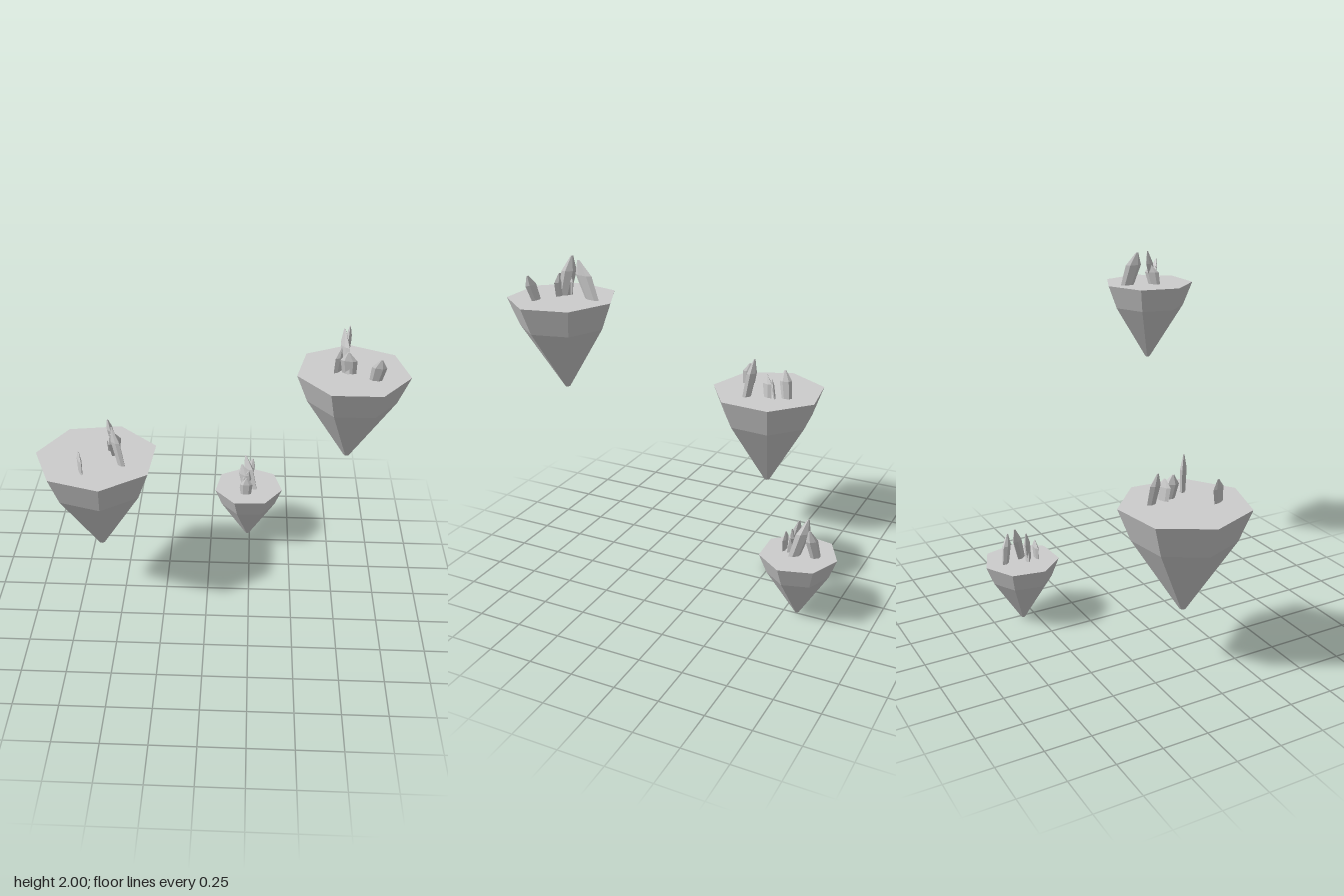
import * as THREE from 'three';

const stone = new THREE.MeshStandardMaterial({ color: 0xcccccc, flatShading: true });
stone.name = 'pale grey stone';

// Seven-sided floating rock: flat top, bulging shoulder, narrow foot
function makeRock(r, bottom, top, angle) {
  const shoulder = top - (top - bottom) * 0.3;
  const profile = [[0, bottom], [r * 0.05, bottom], [r * 0.8, shoulder], [r, top], [0, top]]
    .map(([x, y]) => new THREE.Vector2(x, y));
  const geo = new THREE.LatheGeometry(profile, 7, Math.PI / 2 - THREE.MathUtils.degToRad(angle));
  const mesh = new THREE.Mesh(geo, stone);
  mesh.name = 'rock';
  return mesh;
}

// Flat leaning blade: base centre (x, z), tip (tx, tz), height, width, thickness, heading in degrees
function makeCrystal([x, z, tx, tz, h, width, thick, heading], top) {
  const profile = [[0, 0], [0.42, 0], [0.5, h * 0.62], [0.08, h], [0, h]]
    .map(([a, b]) => new THREE.Vector2(a, b));
  const geo = new THREE.LatheGeometry(profile, 6, Math.PI / 2);
  geo.scale(width, 1, thick);
  geo.rotateY(-THREE.MathUtils.degToRad(heading));
  const lean = new THREE.Matrix4().set(
    1, (tx - x) / h, 0, x,
    0, 1, 0, top,
    0, (tz - z) / h, 1, z,
    0, 0, 0, 1);
  geo.applyMatrix4(lean);
  const mesh = new THREE.Mesh(geo, stone);
  mesh.name = 'crystal';
  return mesh;
}

const islands = [
  {
    name: 'largeIsland', x: -0.632, z: -0.018, r: 0.353, bottom: 0.323, top: 0.925, angle: 29.8,
    crystals: [
      [-0.70, 0.145, -0.705, 0.135, 0.13, 0.09, 0.02, 68],
      [-0.555, -0.17, -0.578, -0.147, 0.17, 0.075, 0.04, 75],
      [-0.54, -0.095, -0.535, -0.08, 0.115, 0.085, 0.02, -25],
      [-0.53, -0.055, -0.55, -0.04, 0.135, 0.08, 0.04, 115],
      [-0.482, 0.062, -0.532, 0.034, 0.228, 0.07, 0.035, 40],
    ],
  },
  {
    name: 'smallIsland', x: 0.236, z: -0.573, r: 0.217, bottom: 0, top: 0.37, angle: 10.2,
    crystals: [
      [0.235, -0.67, 0.262, -0.64, 0.165, 0.07, 0.04, 50],
      [0.265, -0.56, 0.215, -0.615, 0.205, 0.085, 0.04, 50],
      [0.225, -0.53, 0.195, -0.555, 0.175, 0.08, 0.03, 35],
      [0.205, -0.545, 0.235, -0.53, 0.14, 0.06, 0.03, 10],
      [0.22, -0.485, 0.222, -0.49, 0.11, 0.08, 0.025, 0],
    ],
  },
  {
    name: 'highIsland', x: 0.712, z: 0.532, r: 0.274, bottom: 1.328, top: 1.795, angle: 12.7,
    crystals: [
      [0.69, 0.375, 0.69, 0.442, 0.19, 0.1, 0.03, 97],
      [0.675, 0.545, 0.66, 0.497, 0.2, 0.075, 0.03, 60],
      [0.64, 0.535, 0.655, 0.515, 0.115, 0.085, 0.025, -50],
      [0.69, 0.555, 0.68, 0.563, 0.11, 0.08, 0.025, 12],
      [0.808, 0.62, 0.823, 0.652, 0.12, 0.07, 0.025, 12],
    ],
  },
];

export function createModel() {
  const model = new THREE.Group();
  model.name = 'floatingIslands';
  for (const s of islands) {
    const island = new THREE.Group();
    island.name = s.name;
    const rock = makeRock(s.r, s.bottom, s.top, s.angle);
    rock.position.set(s.x, 0, s.z);
    island.add(rock, ...s.crystals.map((c) => makeCrystal(c, s.top)));
    model.add(island);
  }
  return model;
}
